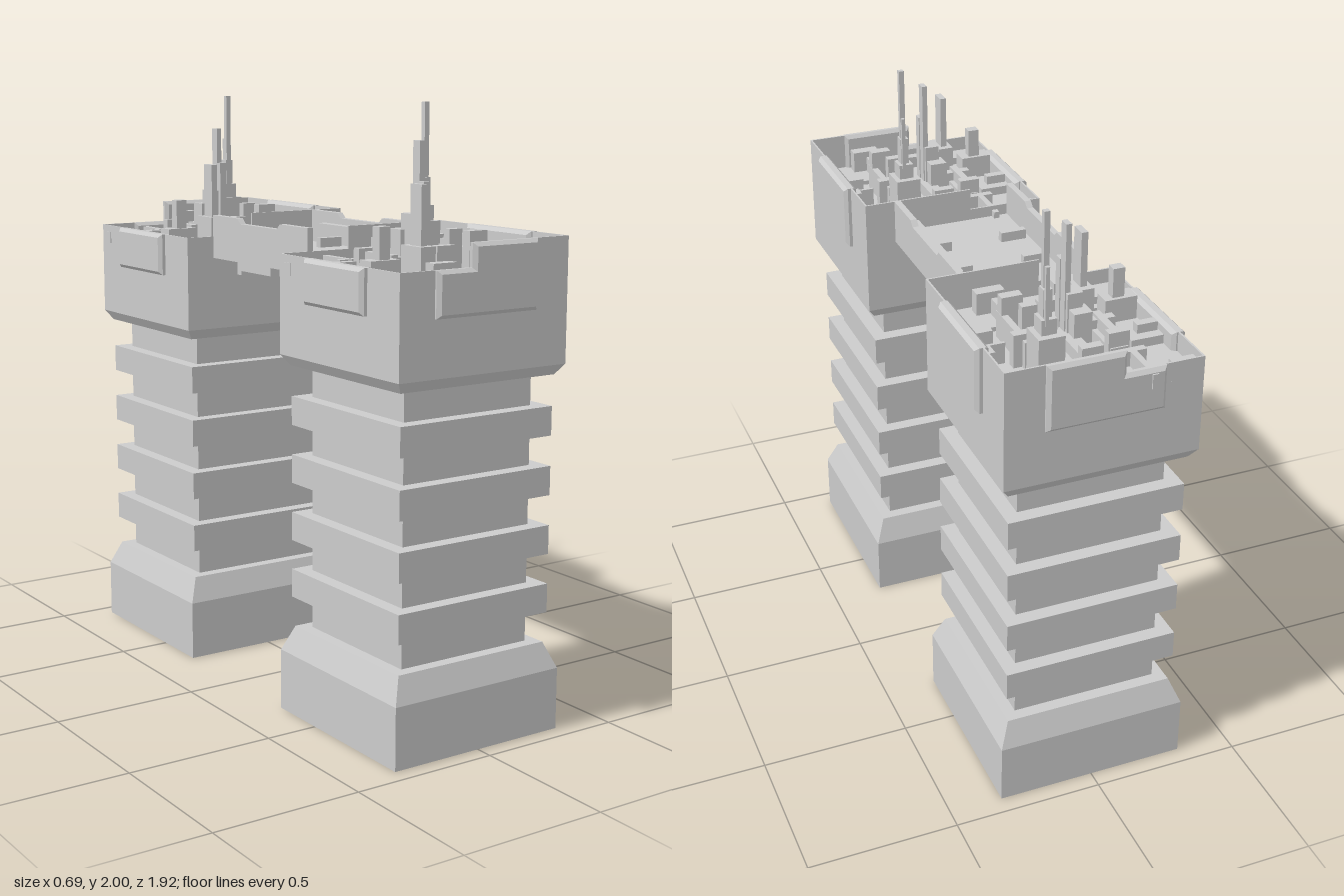
import * as THREE from 'three';

const mat = new THREE.MeshStandardMaterial({ color: 0xcccccc, flatShading: true, side: THREE.DoubleSide });

function add(parent, name, geo, x = 0, y = 0, z = 0) {
  const m = new THREE.Mesh(geo, mat);
  m.name = name;
  m.position.set(x, y, z);
  parent.add(m);
  return m;
}

// axis-aligned box from y0 to y1
function box(parent, name, x, z, w, d, y0, y1) {
  return add(parent, name, new THREE.BoxGeometry(w, y1 - y0, d), x, (y0 + y1) / 2, z);
}

// square block with different half-widths at bottom and top
function block(parent, name, r0, r1, y0, y1) {
  const g = new THREE.CylinderGeometry(r1 * Math.SQRT2, r0 * Math.SQRT2, y1 - y0, 4);
  g.rotateY(Math.PI / 4);
  return add(parent, name, g, 0, (y0 + y1) / 2, 0);
}

// flat plate in the xy plane, centred in z
function plate(points, depth, bevel = 0) {
  const g = new THREE.ExtrudeGeometry(new THREE.Shape(points.map(p => new THREE.Vector2(...p))), {
    depth: depth - 2 * bevel, bevelEnabled: bevel > 0, bevelThickness: bevel,
    bevelSize: bevel, bevelOffset: -bevel, bevelSegments: 1,
  });
  return g.translate(0, 0, -(depth - 2 * bevel) / 2);
}

const HALF = 0.322, TOP = 1.6, LOW = 1.525, FLOOR = 1.46, STEP = -0.06;
const rect = (h, y0, y1) => [[-h, y0], [h, y0], [h, y1], [-h, y1]];
// outline that drops to the low parapet on the right side of the model
const stepped = (h, y0) => [[-h, y0], [h, y0], [h, TOP], [STEP, TOP], [STEP, LOW], [-h, LOW]];

// roof machinery: x, z, width, depth, top
const machinesLeft = [
  [-0.28, -0.28, 0.09, 0.045, 1.5], [-0.26, -0.05, 0.14, 0.1, 1.49], [-0.26, -0.05, 0.07, 0.03, 1.52],
  [-0.235, 0.11, 0.04, 0.035, 1.64], [-0.24, 0.11, 0.11, 0.06, 1.54], [-0.15, -0.265, 0.02, 0.16, 1.51],
  [-0.13, -0.18, 0.13, 0.025, 1.51], [-0.13, -0.06, 0.06, 0.16, 1.5], [-0.13, -0.05, 0.025, 0.17, 1.54],
  [-0.13, -0.12, 0.07, 0.03, 1.55], [-0.13, 0.01, 0.1, 0.03, 1.53], [-0.13, 0.155, 0.055, 0.1, 1.58],
  [-0.13, 0.155, 0.022, 0.055, 1.765], [-0.13, 0.27, 0.09, 0.04, 1.54], [-0.2, 0.2, 0.14, 0.02, 1.5],
];
const machinesRight = [
  [0, -0.05, 0.12, 0.4, 1.49], [0, -0.05, 0.05, 0.34, 1.53], [0, -0.21, 0.07, 0.03, 1.57],
  [0, 0.11, 0.07, 0.03, 1.57], [-0.03, -0.06, 0.06, 0.06, 1.61], [-0.02, -0.02, 0.05, 0.06, 1.66],
  [0, 0.01, 0.025, 0.03, 1.76], [0, -0.02, 0.018, 0.035, 1.885],
  [0.127, -0.17, 0.085, 0.09, 1.62], [0.127, -0.165, 0.05, 0.055, 1.67], [0.127, -0.16, 0.028, 0.035, 1.76],
  [0.127, -0.155, 0.018, 0.018, 2], [0.135, -0.188, 0.012, 0.012, 1.84],
  [0.15, 0.02, 0.022, 0.23, 1.55], [0.16, -0.06, 0.06, 0.03, 1.57], [0.1, 0.03, 0.05, 0.03, 1.61],
  [0.125, 0.11, 0.07, 0.035, 1.61], [0.12, 0.19, 0.022, 0.12, 1.53], [0.13, 0.275, 0.095, 0.04, 1.55],
  [0.255, -0.28, 0.085, 0.035, 1.56], [0.29, -0.125, 0.025, 0.045, 1.57],
  [0.255, 0.03, 0.12, 0.1, 1.5], [0.255, 0.03, 0.07, 0.03, 1.55], [0.26, -0.03, 0.12, 0.01, 1.53],
];

function makeTower(outer) {
  const t = new THREE.Group();
  // foot and ribbed shaft
  block(t, 'base', HALF, HALF, 0, 0.205);
  block(t, 'baseSlope', HALF, 0.287, 0.205, 0.29);
  block(t, 'shaft', 0.247, 0.247, 0.29, 1.165);
  for (let i = 0; i < 4; i++) block(t, 'shaftRing', 0.295, 0.295, 0.39 + i * 0.193, 0.485 + i * 0.193);

  // head with an open, walled roof
  block(t, 'headSlope', 0.298, HALF, 1.165, 1.2);
  block(t, 'head', HALF, HALF, 1.2, FLOOR);
  box(t, 'roofStep', 0, 0.242, 0.636, 0.155, FLOOR, FLOOR + 0.015);
  for (const s of [-1, 1]) {
    add(t, 'endParapet', plate(stepped(HALF, FLOOR), 0.006), 0, 0, s * (HALF - 0.003));
    const top = s > 0 ? TOP : LOW;
    box(t, 'sideParapet', s * (HALF - 0.003), 0, 0.006, 2 * HALF, FLOOR, top);
    add(t, 'sidePanel', plate(rect(0.16, 1.38, top), 0.046, 0.012), s * 0.322, 0, 0).rotation.y = Math.PI / 2;
  }
  add(t, 'endPanel', plate(stepped(0.193, 1.38), 0.036, 0.012), 0, 0, outer * 0.322);

  // machinery and masts
  for (const [x, z, w, d, y] of [...machinesLeft, ...machinesRight]) box(t, 'roofMachine', x, z, w, d, FLOOR, y);
  return t;
}

function makeBridge() {
  const b = new THREE.Group();
  b.name = 'bridge';
  box(b, 'bridgeDeck', 0, 0, 0.4, 0.6, 1.45, 1.487);
  // rails with a shallow notch in the middle
  const rail = [[-0.3, 1.45], [0.3, 1.45], [0.3, TOP], [0.135, TOP], [0.115, 1.582],
    [-0.115, 1.582], [-0.135, TOP], [-0.3, TOP]];
  for (const s of [-1, 1]) {
    add(b, 'bridgeRail', plate(rail, 0.022), s * 0.207, 0, 0).rotation.y = Math.PI / 2;
    for (const e of [-1, 1]) box(b, 'deckBar', s * 0.135, e * 0.097, 0.09, 0.025, 1.487, 1.52);
    // hanging units under the deck
    box(b, 'hangingUnit', 0, s * 0.18, 0.24, 0.2, 1.4, 1.43);
    box(b, 'hangerStem', 0, s * 0.1, 0.12, 0.025, 1.43, 1.45);
    box(b, 'hangerBracket', 0, s * 0.285, 0.24, 0.03, 1.385, 1.45);
  }
  box(b, 'railConduit', 0.18, 0, 0.035, 0.42, 1.53, 1.56);
  return b;
}

export function createModel() {
  const g = new THREE.Group();
  for (const s of [1, -1]) {
    const t = makeTower(s);
    t.name = s > 0 ? 'frontTower' : 'backTower';
    t.position.z = s * 0.619;
    g.add(t);
  }
  g.add(makeBridge());
  return g;
}
